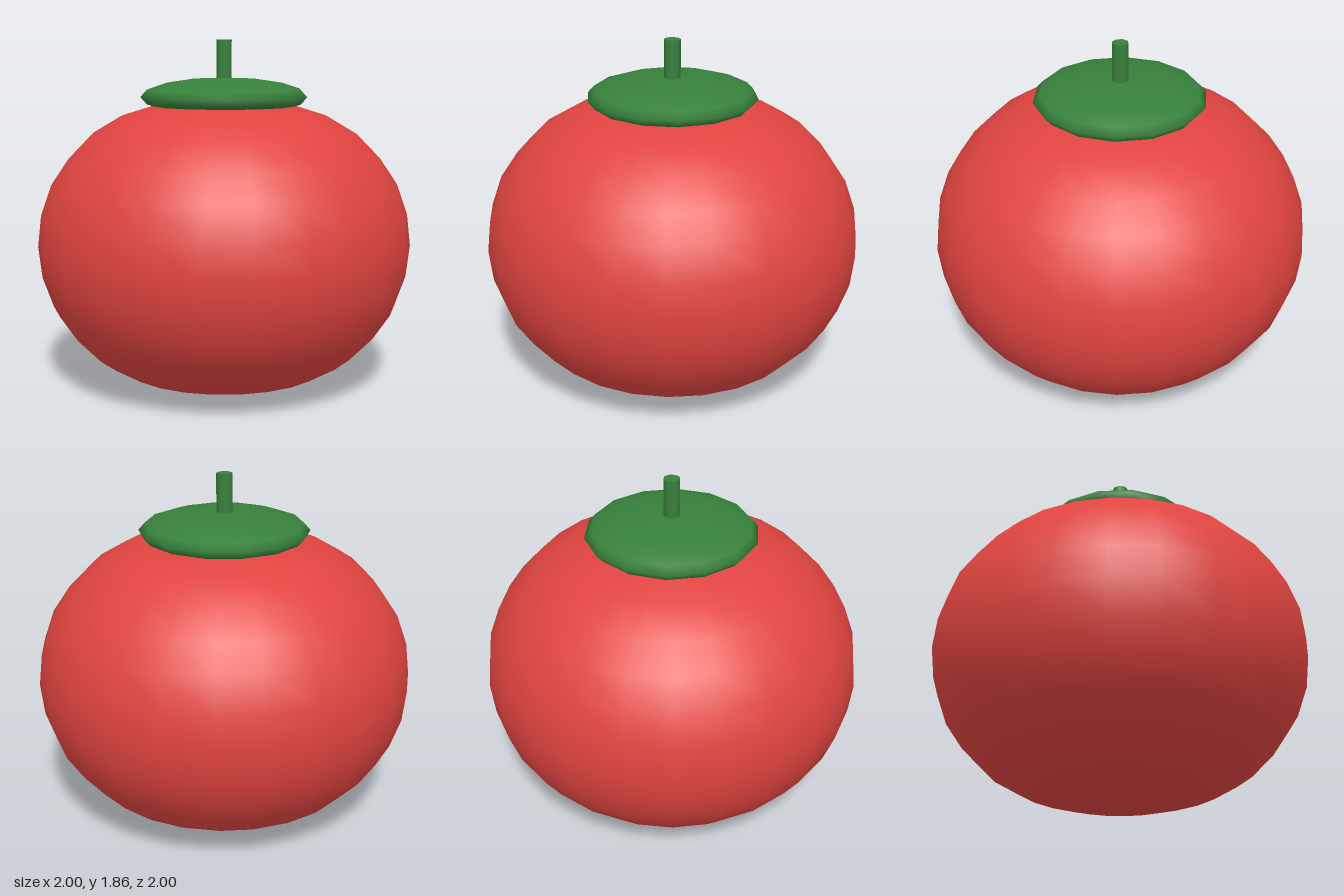
import * as THREE from 'three';

const RED = 0xe04440, GREEN = 0x37803b;

function part(name, geometry, color) {
  const mesh = new THREE.Mesh(geometry, new THREE.MeshStandardMaterial({ color }));
  mesh.name = name;
  return mesh;
}

export function createModel() {
  const group = new THREE.Group();
  group.name = 'tomato';

  // Fruit: a squashed round body, flatter towards the poles, mirrored about its equator
  const midY = 0.765;
  const heights = [0, 0.168, 0.329, 0.466, 0.594, 0.684, 0.738, 0.76, 0.765];
  const profile = [];
  for (let i = -8; i <= 8; i++) {
    const radius = Math.abs(i) === 8 ? 0 : Math.cos((i * Math.PI) / 16);
    profile.push(new THREE.Vector2(radius, midY + Math.sign(i) * heights[Math.abs(i)]));
  }
  group.add(part('fruit', new THREE.LatheGeometry(profile, 24), RED));

  // Leaf cap: a flattened low-poly sphere sunk into the top of the fruit
  const cap = new THREE.SphereGeometry(0.45, 14, 8);
  cap.rotateY(Math.PI / 2).scale(1, 0.1 / 0.45, 1).translate(0, 1.554, 0);
  group.add(part('leafCap', cap, GREEN));

  // Stem: a short upright cylinder rooted in the cap
  const stem = new THREE.CylinderGeometry(0.043, 0.043, 0.3, 8);
  stem.translate(0, 1.705, 0);
  group.add(part('stem', stem, GREEN));

  return group;
}
